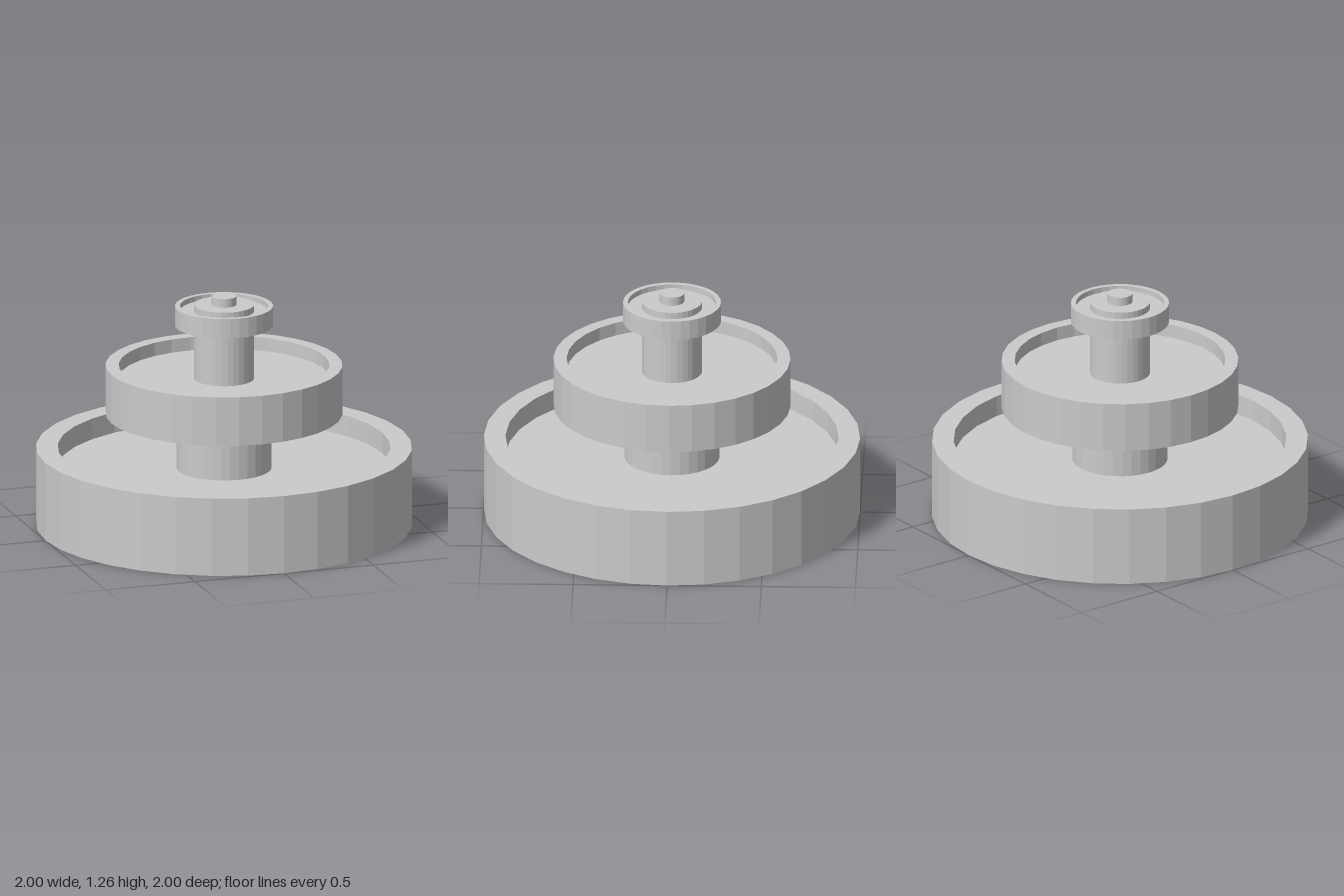
import * as THREE from 'three';

const SIDES = 32;
const material = new THREE.MeshStandardMaterial({ color: 0xcccccc, flatShading: true });

// Round basin: flat underside, outer wall, flat rim, inner wall, flat floor
function basin(name, outer, inner, bottom, floor, rim) {
  const profile = [
    [0, bottom], [outer, bottom], [outer, rim], [inner, rim], [inner, floor], [0, floor],
  ].map(([r, y]) => new THREE.Vector2(r, y));
  const mesh = new THREE.Mesh(new THREE.LatheGeometry(profile, SIDES), material);
  mesh.name = name;
  return mesh;
}

// Upright cylinder between two heights
function column(name, radius, bottom, top) {
  const mesh = new THREE.Mesh(new THREE.CylinderGeometry(radius, radius, top - bottom, SIDES), material);
  mesh.position.y = (bottom + top) / 2;
  mesh.name = name;
  return mesh;
}

export function createModel() {
  const fountain = new THREE.Group();
  fountain.name = 'tieredFountain';
  fountain.add(
    basin('lowerBasin', 1, 0.885, 0, 0.313, 0.427),
    column('lowerColumn', 0.253, 0.313, 0.612),
    basin('middleBasin', 0.63, 0.56, 0.612, 0.807, 0.88),
    column('upperColumn', 0.16, 0.807, 1.1),
    basin('upperBasin', 0.261, 0.234, 1.1, 1.178, 1.207),
    column('spoutBase', 0.16, 1.178, 1.214),
    column('spout', 0.066, 1.214, 1.261),
  );
  return fountain;
}
